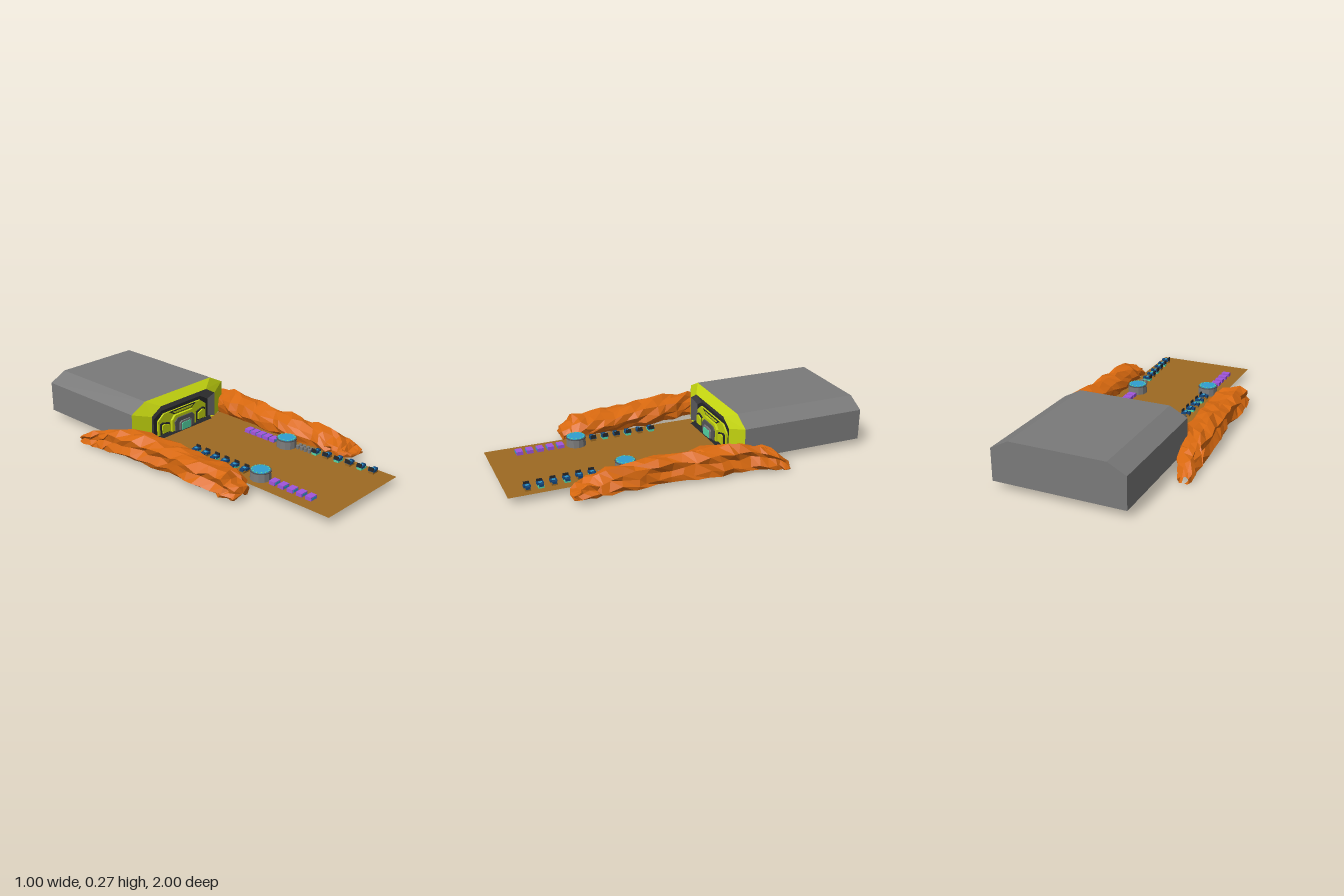
import * as THREE from 'three';

const mat = (name, color) => new THREE.MeshStandardMaterial({ name, color, flatShading: true, side: THREE.DoubleSide });
const GREY = mat('grey', 0x7a7a7a), DARK = mat('darkGrey', 0x565659), BLACK = mat('black', 0x25272a);
const LIME = mat('lime', 0xc3d40f), SAND = mat('sand', 0x9e6a22), ROCK = mat('rock', 0xd9690f);
const BLUE = mat('blue', 0x2f9fd0), PURPLE = mat('purple', 0xa055dc), TEAL = mat('teal', 0x55d6a6), NAVY = mat('navy', 0x13467c);
const GROUND = 0.04;

function add(parent, name, geo, material, x = 0, y = 0, z = 0) {
  const m = new THREE.Mesh(geo, material);
  m.name = name;
  m.position.set(x, y, z);
  parent.add(m);
  return m;
}
const box = (w, h, d) => new THREE.BoxGeometry(w, h, d);

// chamfered arch outline: half width, shoulder height, half width of the top, top height
const arch = (w, s, c, h) => [[-w, GROUND], [w, GROUND], [w, s], [c, h], [-c, h], [-w, s]];

function slab(pts, z0, z1) {
  const shape = new THREE.Shape(pts.map(p => new THREE.Vector2(...p)));
  return new THREE.ExtrudeGeometry(shape, { depth: z1 - z0, bevelEnabled: false }).translate(0, 0, z0);
}

// skin through rows of [x, y, z] points
function skin(rows, closed) {
  const n = rows[0].length, pos = rows.flat(2), idx = [];
  for (let r = 0; r < rows.length - 1; r++) {
    for (let i = 0; i < (closed ? n : n - 1); i++) {
      const a = r * n + i, b = r * n + (i + 1) % n;
      idx.push(a, b, b + n, a, b + n, a + n);
    }
  }
  const g = new THREE.BufferGeometry();
  g.setAttribute('position', new THREE.Float32BufferAttribute(pos, 3));
  g.setIndex(idx);
  g.computeVertexNormals();
  return g;
}
const ringAt = (pts, z) => pts.map(([x, y]) => [x, y, z]);

function buildHangar(root) {
  const g = new THREE.Group();
  g.name = 'hangar';
  root.add(g);
  const outer = arch(0.36, 0.215, 0.26, 0.267), mid = arch(0.253, 0.185, 0.18, 0.228);
  const inner = arch(0.217, 0.15, 0.155, 0.185);
  add(g, 'hall', slab(outer, -1, -0.28), GREY);
  add(g, 'entranceBevel', skin([ringAt(outer, -0.28), ringAt(mid, -0.235)], true), LIME);
  add(g, 'entranceJamb', skin([ringAt(mid, -0.235), ringAt(inner, -0.26)], true), DARK);
  add(g, 'recess', slab(inner, -0.275, -0.26), BLACK);
  add(g, 'facade', slab(arch(0.192, 0.13, 0.145, 0.166), -0.26, -0.25), LIME);

  // window over the door
  add(g, 'upperWindow', slab([[-0.07, 0.142], [0.07, 0.142], [0.108, 0.165], [-0.108, 0.165]], -0.25, -0.247), BLACK);
  add(g, 'upperWindowPane', slab([[-0.062, 0.147], [0.062, 0.147], [0.085, 0.159], [-0.085, 0.159]], -0.247, -0.245), LIME);

  // side panels with dark outlines
  for (const s of [-1, 1]) {
    const panel = (k, z0, z1) => slab([[0.108 + k, 0.048 + k], [0.178 - k, 0.048 + k], [0.178 - k, 0.112 - k],
      [0.16 - k, 0.118 - k], [0.108 + k, 0.104 - k]].map(([x, y]) => [x * s, y]), z0, z1);
    add(g, 'panelOutline', panel(0, -0.25, -0.242), BLACK);
    add(g, 'panel', panel(0.008, -0.242, -0.234), LIME);
  }

  // stepped doorway
  add(g, 'doorSurround', slab(arch(0.095, 0.112, 0.07, 0.137), -0.25, -0.236), LIME);
  add(g, 'doorFrame', slab(arch(0.077, 0.1, 0.058, 0.12), -0.236, -0.228), DARK);
  add(g, 'doorInnerFrame', slab(arch(0.046, 0.085, 0.034, 0.097), -0.228, -0.22), GREY);
  add(g, 'door', slab(arch(0.036, 0.078, 0.03, 0.086), -0.22, -0.216), TEAL);

  // threshold plate
  const plate = skin([[[-0.23, 0.0425, -0.255], [0.23, 0.0425, -0.255]], [[-0.2, 0.0425, -0.21], [0.2, 0.0425, -0.21]]], false);
  add(g, 'threshold', plate, BLACK);
}

// rows: [z, outer x, inner x, top y, bottom y]
function buildRocks(root, name, side, rows, seed) {
  let s = seed;
  const rnd = () => ((s = (s * 16807) % 2147483647) / 2147483647) - 0.5;
  const prof = [[0.72, 0.12], [0.93, 0], [1, 0.2], [0.86, 0.5], [0.93, 0.76], [0.68, 1], [0.42, 0.93], [0.15, 0.8], [0.04, 0.5], [0.1, 0.25], [0.22, 0.03], [0.38, 0.1]];
  const out = [], steps = 3;
  for (let r = 0; r < rows.length - 1; r++) {
    for (let k = 0; k < steps || (r === rows.length - 2 && k === steps); k++) {
      const [z, xo, xi, top, bot] = rows[r].map((v, i) => THREE.MathUtils.lerp(v, rows[r + 1][i], k / steps));
      const end = (r === 0 && k === 0) || (r === rows.length - 2 && k === steps);
      const q = end ? 0.3 : 1;
      out.push(prof.map(([u, v]) => [
        side * (xi + (xo - xi) * u + rnd() * 0.03 * q),
        Math.max(0, bot + (top - bot) * v + rnd() * 0.026 * q * (v > 0.1 ? 1 : 0.3)),
        z + rnd() * 0.035 * q]));
    }
  }
  // close the forward end
  const last = out[out.length - 1];
  const c = [0, 1, 2].map(i => last.reduce((t, p) => t + p[i], 0) / last.length);
  out.push(last.map(() => [c[0], c[1], c[2] + 0.012]));
  add(root, name, skin(out, false), ROCK);
}

function buildTable(root, x, z) {
  const g = new THREE.Group();
  g.name = 'roundTable';
  g.position.set(x, GROUND, z);
  root.add(g);
  add(g, 'tableBase', new THREE.CylinderGeometry(0.054, 0.057, 0.044, 12), GREY, 0, 0.022, 0);
  add(g, 'tableRim', new THREE.CylinderGeometry(0.057, 0.057, 0.005, 12), DARK, 0, 0.0465, 0);
  add(g, 'tableTop', new THREE.CylinderGeometry(0.051, 0.051, 0.005, 12), BLUE, 0, 0.0495, 0);
  for (let i = 0; i < 12; i++) {
    const a = (i + 0.5) / 12 * Math.PI * 2;
    add(g, 'tableLight', box(0.008, 0.003, 0.008), TEAL, Math.cos(a) * 0.046, 0.0525, Math.sin(a) * 0.046);
  }
}

function buildCrate(root, x, z) {
  add(root, 'crate', box(0.048, 0.02, 0.036), PURPLE, x, GROUND + 0.011, z);
  add(root, 'crateFront', box(0.036, 0.012, 0.002), BLUE, x, GROUND + 0.011, z + 0.0185);
}

function buildConsole(root, x, z, i, turn) {
  const g = new THREE.Group();
  g.name = 'console';
  g.position.set(x, GROUND, z);
  g.rotation.y = turn;
  root.add(g);
  add(g, 'consoleBase', box(0.046, 0.012, 0.03), i % 2 ? SAND : TEAL, 0, 0.012, 0);
  add(g, 'consoleDesk', box(0.028, 0.012, 0.036), NAVY, -0.008, 0.023, 0);
  add(g, 'consoleScreen', box(0.006, 0.02, 0.03), BLACK, -0.02, 0.031, 0);
  add(g, 'consoleKeys', box(0.012, 0.003, 0.018), BLUE, 0.0, 0.03, 0);
  add(g, 'consoleSeat', box(0.014, 0.014, 0.024), NAVY, 0.018, 0.022, 0);
}

export function createModel() {
  const root = new THREE.Group();
  root.name = 'canyonBase';

  // ground sheet
  add(root, 'ground', new THREE.PlaneGeometry(0.58, 1.25).rotateX(-Math.PI / 2), SAND, 0.02, GROUND, 0.375);
  buildHangar(root);

  // rock ridges
  buildRocks(root, 'rightRocks', -1, [
    [-0.58, 0.49, 0.43, 0.04, 0], [-0.45, 0.485, 0.36, 0.1, 0.005], [-0.3, 0.485, 0.33, 0.14, 0.02], [-0.1, 0.475, 0.29, 0.16, 0.02],
    [0.1, 0.46, 0.28, 0.15, 0.02], [0.3, 0.46, 0.26, 0.14, 0.02], [0.45, 0.445, 0.26, 0.13, 0.015], [0.535, 0.43, 0.3, 0.08, 0.012]], 77);
  buildRocks(root, 'leftRocks', 1, [
    [-0.49, 0.495, 0.44, 0.03, 0], [-0.41, 0.485, 0.36, 0.11, 0.005], [-0.28, 0.465, 0.3, 0.15, 0.02], [-0.1, 0.465, 0.28, 0.16, 0.02],
    [0.1, 0.44, 0.28, 0.15, 0.02], [0.3, 0.435, 0.28, 0.145, 0.025], [0.5, 0.445, 0.28, 0.135, 0.025], [0.62, 0.45, 0.29, 0.1, 0.03],
    [0.695, 0.45, 0.33, 0.055, 0.03]], 4021);

  // equipment rows
  buildTable(root, -0.18, 0.5);
  buildTable(root, 0.215, 0.35);
  for (let i = 0; i < 5; i++) {
    buildCrate(root, -0.18, 0.593 + i * 0.058);
    buildCrate(root, 0.215, 0.08 + i * 0.045);
  }
  for (let i = 0; i < 6; i++) {
    buildConsole(root, -0.193, 0.05 + i * 0.07, i, Math.PI);
    buildConsole(root, 0.235 + i * 0.005, 0.54 + i * 0.07, i, 0);
  }

  // small drums
  for (let i = 0; i < 8; i++) {
    add(root, 'drum', new THREE.CylinderGeometry(0.01, 0.01, 0.02, 8), GREY, 0.228 + (i % 2) * 0.023, GROUND + 0.01, 0.42 + Math.floor(i / 2) * 0.026);
  }
  return root;
}
